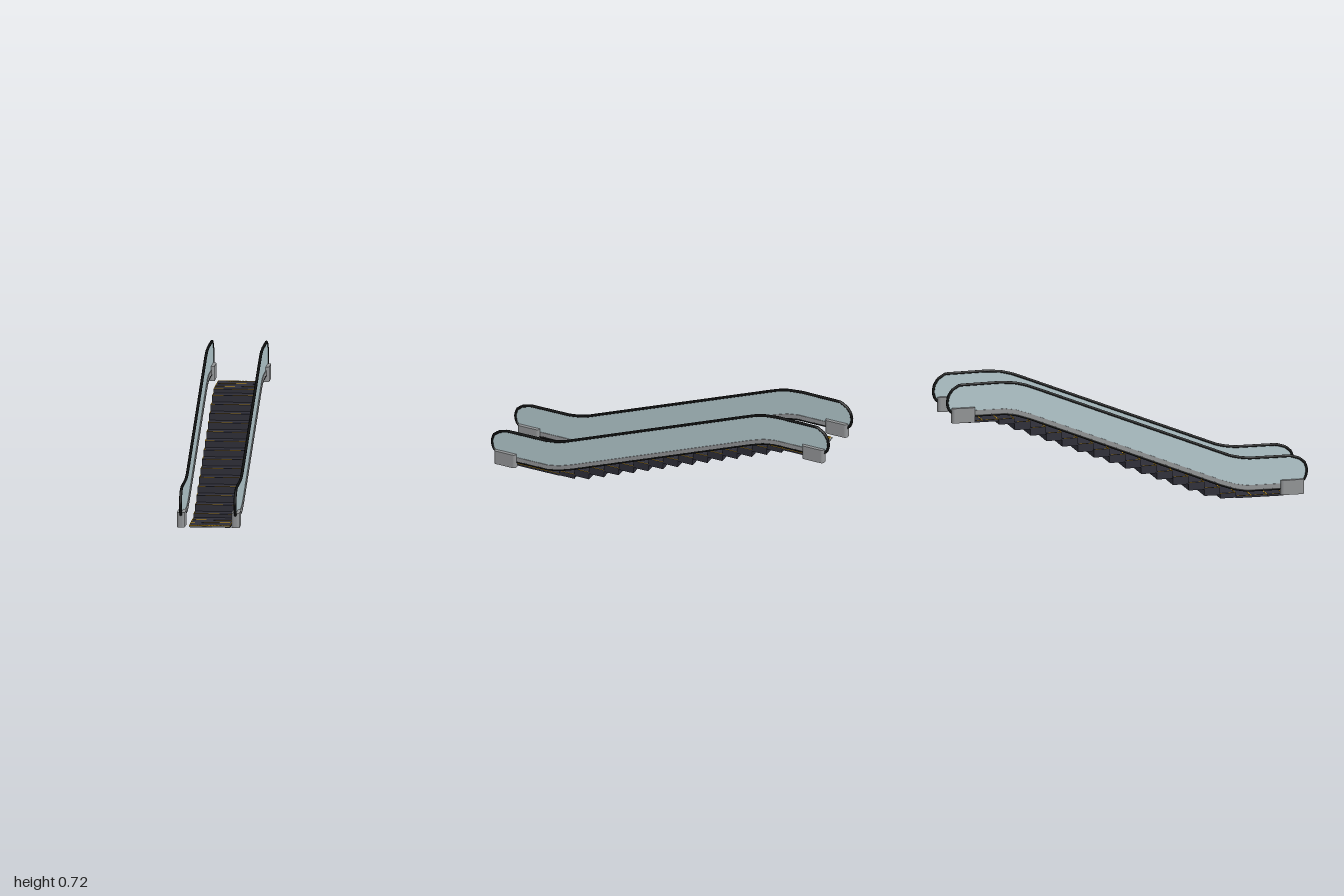
import * as THREE from 'three';

const mat = (name, color, side = THREE.FrontSide) => {
  const m = new THREE.MeshStandardMaterial({ color, side });
  m.name = name;
  return m;
};

export function createModel() {
  const stepDark = mat('step charcoal', 0x2d2d37);
  const yellow = mat('safety yellow', 0xd09a10);
  const black = mat('handrail black', 0x0c0d0d);
  const glass = mat('pale glass', 0xb3c8cd, THREE.DoubleSide);
  const grey = mat('metal grey', 0x929496);

  const root = new THREE.Group();
  root.name = 'escalator';

  const add = (parent, name, geo, material, x = 0, y = 0, z = 0) => {
    const mesh = new THREE.Mesh(geo, material);
    mesh.name = name;
    mesh.position.set(x, y, z);
    parent.add(mesh);
    return mesh;
  };
  const box = (parent, name, w, h, d, material, x, y, z) =>
    add(parent, name, new THREE.BoxGeometry(w, h, d), material, x, y, z);

  // Steps: flat at both landings, rising evenly in between
  const COUNT = 20, PITCH = 0.0872, RISE = 0.0349, FRONT = 0.872, WIDTH = 0.22, TRIM = 0.0012;
  const topOf = i => (i < 3 ? 0.011 : i === 3 ? 0.03 : i < 17 ? 0.0645 + (i - 4) * RISE : 0.504);
  const steps = new THREE.Group();
  steps.name = 'steps';
  root.add(steps);
  for (let i = 0; i < COUNT; i++) {
    const top = topOf(i);
    const bottom = i < 3 ? 0 : i > 17 ? 0.494 : Math.max(0.003, topOf(i - 1) - 0.008);
    const z0 = FRONT - i * PITCH, len = PITCH - 0.001, zc = z0 - len / 2;
    const step = new THREE.Group();
    step.name = 'step';
    steps.add(step);
    box(step, 'stepBlock', WIDTH, top - bottom, len, stepDark, 0, (top + bottom) / 2, zc);
    box(step, 'nosingStrip', WIDTH, TRIM, 0.005, yellow, 0, top + TRIM / 2, z0 - 0.0025);
    for (const s of [-1, 1])
      box(step, 'sideStrip', 0.003, TRIM, len - 0.005, yellow, s * (WIDTH / 2 - 0.0015), top + TRIM / 2, zc - 0.0025);
  }

  // Comb plates at the two landings
  for (const [s, y] of [[1, 0.011], [-1, 0.504]]) {
    const comb = new THREE.Group();
    comb.name = 'combPlate';
    comb.position.set(0, y, s * 0.88);
    root.add(comb);
    box(comb, 'combBar', WIDTH, 0.006, 0.014, yellow, 0, -0.0025, 0);
    box(comb, 'combEdge', WIDTH, 0.005, 0.008, grey, 0, -0.003, s * 0.011);
    for (let k = 0; k < 28; k++)
      box(comb, 'combTooth', 0.004, 0.0015, 0.016, yellow, (k - 13.5) * 0.0079, 0.001, -s * 0.003);
  }

  // Balustrade outline as [z, y]: over the top, then back along the bottom
  const upper = [
    [0.963, 0.077], [0.985, 0.105], [0.992, 0.145], [0.98, 0.182], [0.95, 0.208], [0.9, 0.223],
    [0.675, 0.223], [0.62, 0.23], [0.567, 0.243], [-0.5, 0.669], [-0.56, 0.692], [-0.62, 0.707], [-0.7, 0.714],
    [-0.925, 0.711], [-0.965, 0.686], [-0.985, 0.655], [-0.992, 0.617], [-0.985, 0.585], [-0.965, 0.56],
  ];
  const lower = [
    [-0.85, 0.542], [-0.674, 0.542], [-0.61, 0.532], [-0.53, 0.505],
    [0.513, 0.088], [0.594, 0.06], [0.66, 0.048], [0.85, 0.048],
  ];
  const outline = [...upper, ...lower];

  // Flat panel in the z-y plane, centred on its thickness
  const panel = (pts, thick) => {
    const shape = new THREE.Shape(pts.map(([z, y]) => new THREE.Vector2(-z, y)));
    const geo = new THREE.ExtrudeGeometry(shape, { depth: thick, bevelEnabled: false });
    return geo.translate(0, 0, -thick / 2).rotateY(Math.PI / 2);
  };
  // Nearly straight runs between the outline points
  const railCurve = new THREE.CatmullRomCurve3(
    outline.map(([z, y]) => new THREE.Vector3(0, y, z)), true, 'catmullrom', 0);
  railCurve.arcLengthDivisions = 1500;
  const railGeo = new THREE.TubeGeometry(railCurve, 300, 0.0078, 8, true);
  const glassGeo = panel(outline, 0.006);
  const skirtGeo = panel([...lower, ...lower.map(([z, y]) => [z, y + 0.028]).reverse()], 0.012);

  // Rounded pedestal, drawn in plan and extruded upward
  const pedestalGeo = (() => {
    const w = 0.0215, d = 0.064, r = 0.016, s = new THREE.Shape();
    s.absarc(w - r, d - r, r, 0, Math.PI / 2);
    s.absarc(-w + r, d - r, r, Math.PI / 2, Math.PI);
    s.absarc(-w + r, -d + r, r, Math.PI, Math.PI * 1.5);
    s.absarc(w - r, -d + r, r, Math.PI * 1.5, Math.PI * 2);
    return new THREE.ExtrudeGeometry(s, { depth: 0.08, bevelEnabled: false, curveSegments: 6 }).rotateX(-Math.PI / 2);
  })();

  for (const s of [-1, 1]) {
    const side = new THREE.Group();
    side.name = s > 0 ? 'leftBalustrade' : 'rightBalustrade';
    side.position.x = s * 0.146;
    root.add(side);
    add(side, 'glassPanel', glassGeo, glass);
    add(side, 'skirtStrip', skirtGeo, grey);
    add(side, 'handrail', railGeo, black);
    add(side, 'frontPedestal', pedestalGeo, grey, 0, 0.015, 0.909);
    add(side, 'backPedestal', pedestalGeo, grey, 0, 0.508, -0.905);
  }
  return root;
}
